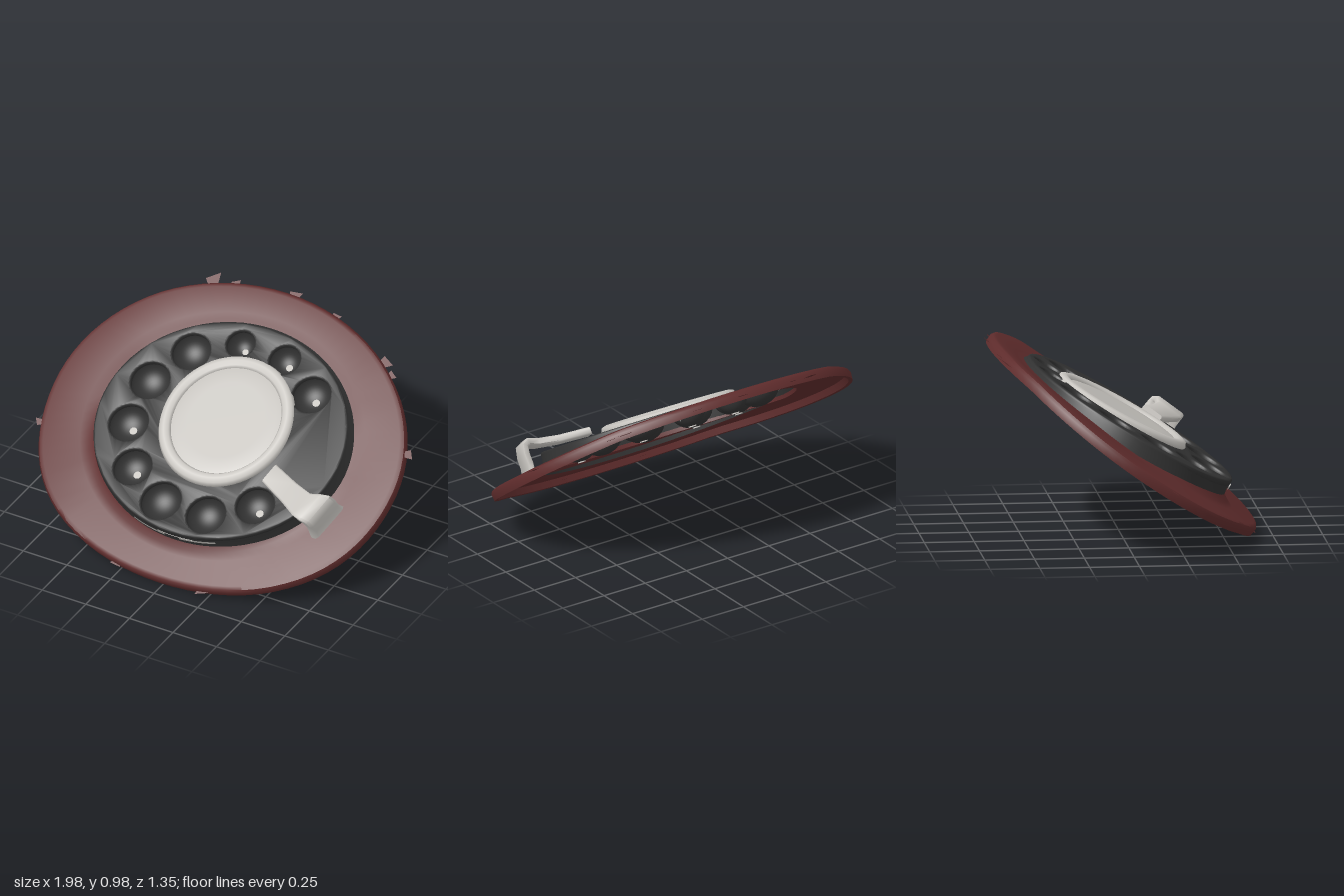
import * as THREE from 'three';
import { toCreasedNormals } from 'three/addons/utils/BufferGeometryUtils.js';

function paint(name, color) {
  const m = new THREE.MeshStandardMaterial({ color, side: THREE.DoubleSide });
  m.name = name;
  return m;
}

// Skins a list of closed rings (arrays of Vector3 of equal length).
function loft(rings, crease = 0.7) {
  const n = rings[0].length, pos = [], index = [];
  rings.forEach(r => r.forEach(p => pos.push(p.x, p.y, p.z)));
  for (let i = 0; i < rings.length - 1; i++) {
    for (let j = 0; j < n; j++) {
      const k = (j + 1) % n;
      const a = i * n + j, b = (i + 1) * n + j, c = (i + 1) * n + k, d = i * n + k;
      index.push(a, b, c, a, c, d);
    }
  }
  const g = new THREE.BufferGeometry();
  g.setAttribute('position', new THREE.Float32BufferAttribute(pos, 3));
  g.setIndex(index);
  return toCreasedNormals(g, crease);
}

// Oval ring; square widens the two front corners.
function ellipse(cx, rx, ry, height, square = 0) {
  return Array.from({ length: 80 }, (_, j) => {
    const a = j / 80 * Math.PI * 2;
    const k = a > Math.PI ? 1 + square * Math.sin(2 * a) ** 2 : 1;
    const x = cx + rx * k * Math.cos(a), y = ry * k * Math.sin(a);
    return new THREE.Vector3(x, y, height(x, y));
  });
}

export function createModel() {
  const red = paint('dark red', 0x5f2c2c);
  const black = paint('charcoal', 0x323232);
  const pale = paint('pale grey', 0xcac7c2);
  const grey = paint('warm grey', 0xc2bfba);

  const model = new THREE.Group();
  // Everything lies on a sloping plane: local x across, y up the slope, z outward.
  const slope = new THREE.Group();
  slope.name = 'slopingFace';
  slope.position.set(0, 0.53, 0.02);
  slope.rotation.x = 0.624 - Math.PI / 2;
  model.add(slope);

  const add = (parent, name, geometry, material) => {
    const m = new THREE.Mesh(geometry, material);
    m.name = name;
    parent.add(m);
    return m;
  };

  // Base plate: oval ring, rim turned down, sagging at the sides, rising to the dial at the front
  const section = [
    // rx, ry, height, rise at the front
    [0.68, 0.585, 0, 0.04], [0.71, 0.625, 0, 0.012], [0.76, 0.66, 0, 0], [0.95, 0.785, 0.012, 0],
    [0.972, 0.802, 0.006, 0], [0.98, 0.812, -0.01, 0], [0.975, 0.81, -0.045, 0],
    [0.955, 0.79, -0.043, 0], [0.945, 0.78, -0.01, 0], [0.71, 0.625, -0.02, 0.012],
    [0.68, 0.585, -0.02, 0.04], [0.68, 0.585, 0, 0.04],
  ];
  const basePlate = add(slope, 'basePlate', loft(section.map(([rx, ry, h, rise]) =>
    ellipse(-0.02, rx, ry, (x, y) =>
      h + rise * Math.max(0, -y / ry) - 0.05 * Math.max(0, x * x - 0.4),
    rx > 0.9 ? 0.03 : 0))), red);
  basePlate.position.y = -0.007;

  // Ragged flakes along the rim: angle, length, width
  const flakes = [[114, 0.07, 0.08], [107, 0.035, 0.05], [88, 0.04, 0.07], [73, 0.03, 0.05],
    [50, 0.05, 0.07], [45, 0.035, 0.05], [15, 0.05, 0.05], [195, 0.045, 0.04], [255, 0.03, 0.06],
    [284, 0.03, 0.07]];
  for (const [deg, length, width] of flakes) {
    const a = deg * Math.PI / 180;
    const s = new THREE.Shape();
    s.moveTo(-0.02, -width * 0.2);
    s.lineTo(length, -width / 2);
    s.lineTo(length * 0.7, width / 2);
    s.lineTo(-0.02, width * 0.2);
    const flake = add(slope, 'rimFlake', new THREE.ShapeGeometry(s), red);
    flake.position.set(-0.02 + 0.97 * Math.cos(a), -0.007 + 0.8 * Math.sin(a), -0.025);
    flake.rotation.z = a;
  }

  // Skirt between the base plate and the raised dial
  const dialHeight = (x, y) => 0.062 - 0.077 * y;
  add(slope, 'dialSkirt', loft([
    ellipse(-0.01, 0.672, 0.588, dialHeight),
    ellipse(-0.01, 0.678, 0.594, (x, y) => dialHeight(x, y) * 0.6),
    ellipse(-0.01, 0.695, 0.612, () => -0.012),
  ]), black);

  // Dial: oval plate with ten finger holes, standing higher at its lower edge
  const dial = new THREE.Group();
  dial.name = 'dial';
  dial.position.set(-0.01, 0, 0.072);
  dial.rotation.x = -0.077;
  slope.add(dial);

  // The two holes at the top are smaller
  const holeRadii = [0.108, 0.09, 0.083, 0.108, 0.11, 0.11, 0.108, 0.113, 0.11, 0.108];
  const holes = holeRadii.map((r, i) => {
    const a = (42.5 + 30.4 * i) * Math.PI / 180;
    return { x: 0.49 * Math.cos(a), y: 0.008 + 0.475 * Math.sin(a), r };
  });
  const face = new THREE.Shape();
  face.absellipse(0, 0, 0.662, 0.585, 0, Math.PI * 2);
  const hole = (x, y, rx, ry) =>
    face.holes.push(new THREE.Path().absellipse(x, y, rx, ry, 0, Math.PI * 2, true));
  holes.forEach(p => hole(p.x, p.y, p.r, p.r));
  hole(0.01, 0.05, 0.31, 0.31);
  const plate = add(dial, 'dialPlate', toCreasedNormals(new THREE.ExtrudeGeometry(face, {
    depth: 0.012, bevelThickness: 0.012, bevelSize: 0.01, bevelSegments: 3, curveSegments: 32,
  }), 0.6), black);
  plate.position.z = -0.024;

  // Rounded cups under the finger holes; some carry a pale spot underneath or on the inner wall
  const spotBelow = [0, 1, 2, 5, 6, 9], spotInside = [0, 1, 5, 9];
  const spotShape = new THREE.CylinderGeometry(0.02, 0.02, 0.006, 16).rotateX(Math.PI / 2);
  holes.forEach((p, i) => {
    const bowl = new THREE.SphereGeometry(p.r, 28, 12, 0, Math.PI * 2, Math.PI / 2, Math.PI / 2);
    bowl.rotateX(Math.PI / 2);
    const cup = add(dial, 'fingerCup', bowl, black);
    cup.position.set(p.x, p.y, -0.012);
    cup.scale.z = 0.09 / p.r;
    if (spotBelow.includes(i)) {
      add(dial, 'cupSpot', spotShape, grey).position.set(p.x, p.y, -0.103);
    }
    if (spotInside.includes(i)) {
      const spot = add(dial, 'wallSpot', spotShape, grey);
      spot.position.set(p.x + p.r * 0.84, p.y + p.r * 0.1, -0.05);
      spot.rotation.y = -1;
    }
  });

  // Pale slips beneath the dial, outside the cups
  for (const deg of [149, 179, 210, 271, 301]) {
    const slip = add(dial, 'numberSlip', new THREE.RingGeometry(0.58, 0.612, 10, 1,
      (deg - 9) * Math.PI / 180, 18 * Math.PI / 180), grey);
    slip.scale.set(1.08, 0.97, 1);
    slip.position.z = -0.05;
  }
  // Pale strips showing at the front under the dial edge
  for (const start of [-0.35, 0.06]) {
    const strip = add(dial, 'frontStrip',
      new THREE.CylinderGeometry(0.68, 0.68, 0.018, 10, 1, true, start, 0.29).rotateX(Math.PI / 2), grey);
    strip.scale.y = 0.601 / 0.68;
    strip.position.z = -0.04;
  }

  // Centre cap: raised rim around a shallow disc
  const cap = new THREE.Group();
  cap.name = 'centreCap';
  cap.position.set(0.01, 0.054, 0.006);
  cap.rotation.x = -0.03;
  cap.scale.y = 1.06;
  dial.add(cap);
  const rim = [[0.285, -0.035], [0.335, -0.033], [0.348, -0.01], [0.338, 0.014], [0.315, 0.022],
    [0.292, 0.016], [0.28, 0], [0.285, -0.035]].map(p => new THREE.Vector2(...p));
  add(cap, 'capRim', new THREE.LatheGeometry(rim, 64).rotateX(Math.PI / 2), pale);
  const disc = [[0, -0.025], [0.292, -0.025], [0.292, 0], [0.255, 0.008], [0.2, 0.008], [0, 0.01]]
    .map(p => new THREE.Vector2(...p));
  add(cap, 'capDisc', toCreasedNormals(new THREE.LatheGeometry(disc, 64).rotateX(Math.PI / 2), 0.6), grey);

  // Finger stop: flat arm over the dial bending down into a flared foot
  // x, y, z, half width, direction of the thickness (x, z)
  const stations = [
    [0.355, -0.147, 0.112, 0.055, 0, 1], [0.5, -0.213, 0.124, 0.06, 0, 1],
    [0.6, -0.258, 0.142, 0.07, -0.1, 1], [0.655, -0.262, 0.157, 0.085, 0.2, 1],
    [0.685, -0.258, 0.145, 0.092, 0.8, 0.6], [0.695, -0.257, 0.1, 0.094, 1, 0.1],
    [0.693, -0.26, 0.045, 0.097, 1, 0], [0.70, -0.262, -0.005, 0.108, 1, 0],
  ];
  const across = new THREE.Vector3(0.3, 0.95, 0);
  const rings = stations.map(([x, y, z, w, tx, tz]) => {
    const centre = new THREE.Vector3(x, y, z);
    const out = new THREE.Vector3(tx, 0, tz).normalize().multiplyScalar(0.019);
    return [[-1, -0.6], [-1, 0.6], [-0.85, 1], [0.85, 1], [1, 0.6], [1, -0.6], [0.85, -1], [-0.85, -1]]
      .map(([u, t]) => centre.clone().addScaledVector(across, u * w).addScaledVector(out, t));
  });
  const point = ([x, y, z]) => Array.from({ length: 8 }, () => new THREE.Vector3(x, y, z));
  add(slope, 'fingerStop',
    loft([point(stations[0]), ...rings, point(stations[stations.length - 1])], 0.9), pale);

  return model;
}
